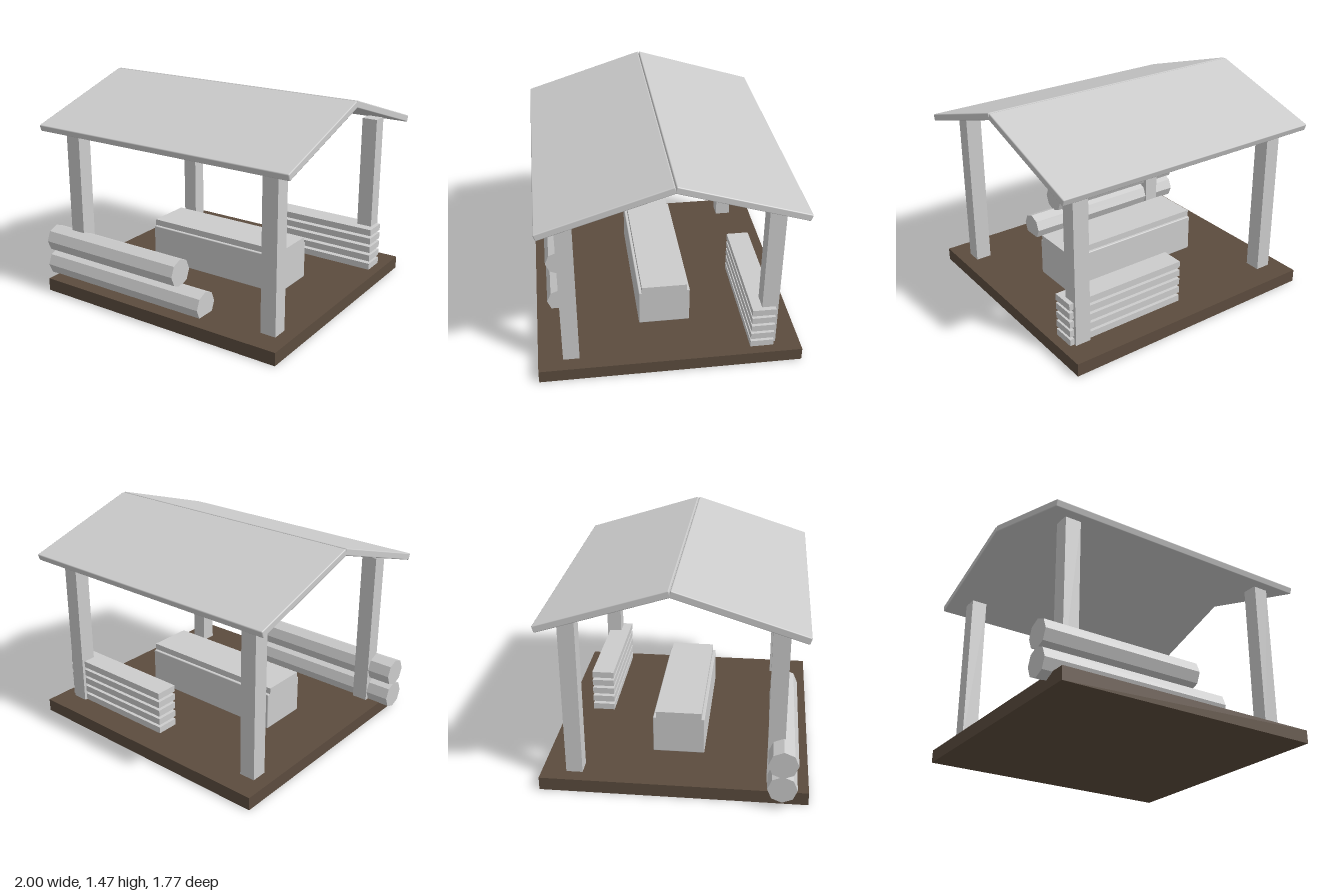
import * as THREE from 'three';
import { RoundedBoxGeometry } from 'three/addons/geometries/RoundedBoxGeometry.js';

export function createModel() {
  const model = new THREE.Group();
  model.name = 'woodShelter';
  const paleGrey = new THREE.MeshStandardMaterial({ color: 0xcccccc });
  paleGrey.name = 'pale grey';
  const brown = new THREE.MeshStandardMaterial({ color: 0x5c4c3e });
  brown.name = 'earth brown';

  const add = (name, geometry, material, x, y, z) => {
    const mesh = new THREE.Mesh(geometry, material);
    mesh.name = name;
    mesh.position.set(x, y, z);
    model.add(mesh);
    return mesh;
  };
  // Box given by its extents; a bevel softens the edges
  const block = (name, material, [x0, x1], [y0, y1], [z0, z1], bevel = 0) => {
    const size = [x1 - x0, y1 - y0, z1 - z0];
    const geometry = bevel
      ? new RoundedBoxGeometry(...size, 1, bevel)
      : new THREE.BoxGeometry(...size);
    return add(name, geometry, material, (x0 + x1) / 2, (y0 + y1) / 2, (z0 + z1) / 2);
  };

  // Ground slab
  block('base', brown, [-0.93, 0.96], [0, 0.09], [-0.885, 0.885]);

  // Corner posts and the two roof slopes
  for (const side of [-1, 1]) {
    const zRange = side > 0 ? [0.61, 0.72] : [-0.72, -0.61];
    block('rightPost', paleGrey, [-0.835, -0.725], [0.09, 1.2], zRange);
    block('leftPost', paleGrey, [0.752, 0.862], [0.09, 1.2], zRange);

    const slope = add('roofSlope', new RoundedBoxGeometry(1.97, 0.047, 0.876, 1, 0.007),
      paleGrey, 0.015, 1.316, side * 0.416);
    slope.rotation.x = side * 0.307;
  }

  // Chest with a narrower lid
  block('chest', paleGrey, [-0.525, 0.56], [0.09, 0.356], [-0.176, 0.178], 0.006);
  block('chestLid', paleGrey, [-0.527, 0.562], [0.35, 0.4], [-0.155, 0.157]);

  // Stack of planks at the back
  for (let i = 0; i < 5; i++) {
    const y = 0.09 + i * 0.066;
    block('plank', paleGrey, [0.005, 0.893], [y, y + 0.046], [-0.7, -0.542]);
  }

  // Two eight-sided logs at the front
  for (const [end, y] of [[0.325, 0.155], [0.122, 0.335]]) {
    const geometry = new THREE.CylinderGeometry(0.097, 0.097, end + 1, 8).toNonIndexed();
    geometry.rotateZ(Math.PI / 2);
    geometry.computeVertexNormals();
    add('log', geometry, paleGrey, (end - 1) / 2, y, 0.712);
  }
  return model;
}
